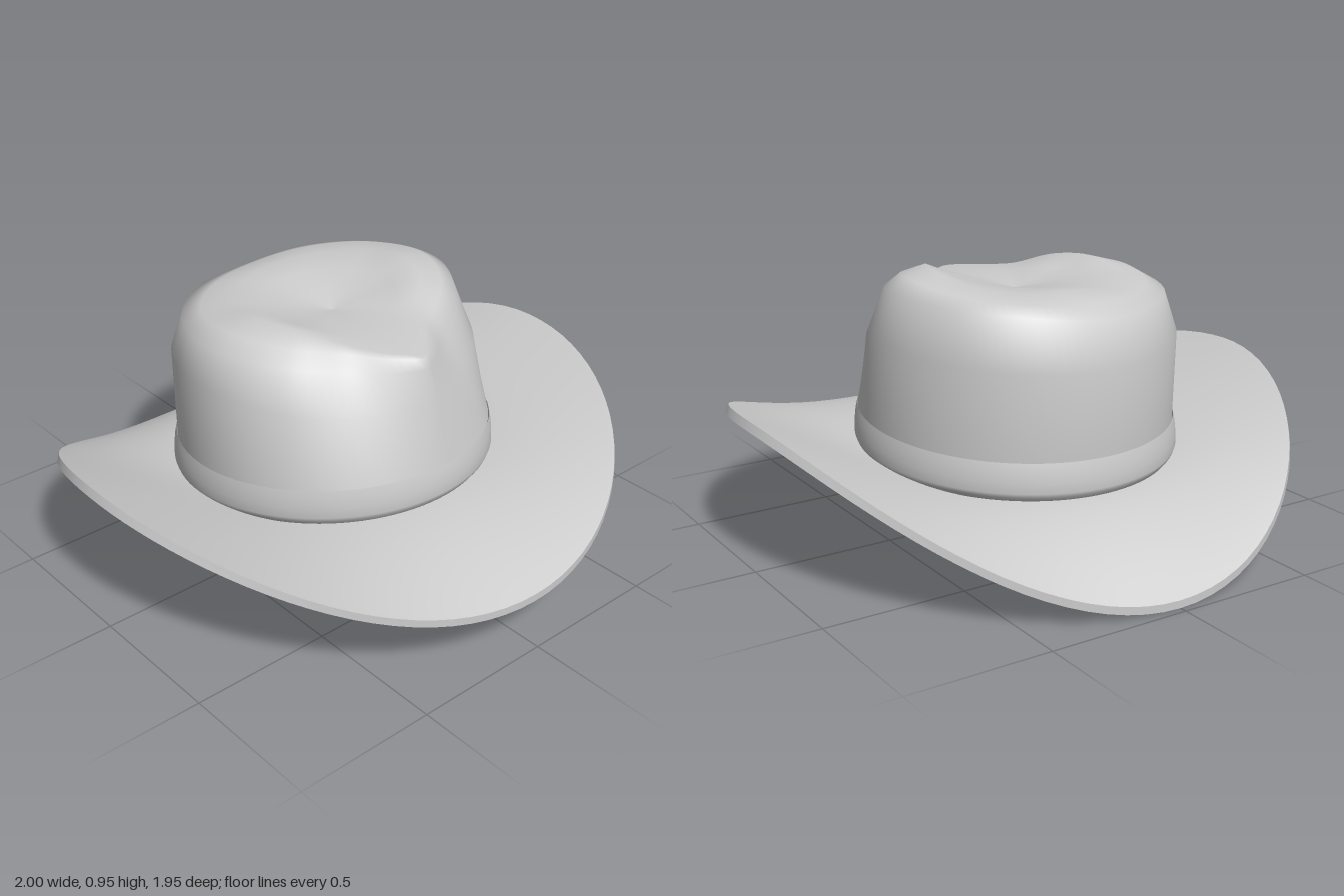
import * as THREE from 'three';

const SEGMENTS = 96;
const felt = new THREE.MeshStandardMaterial({ color: 0xcccccc, side: THREE.DoubleSide });
felt.name = 'light grey felt';

const CENTRE_Z = -0.03; // the crown sits slightly behind the middle
const TILT = 0.075;     // the crown base rises towards the front

// Closed loft: column(angle) returns the points of one vertical slice
function loft(name, column) {
  const positions = [];
  const index = [];
  let rows = 0;
  for (let i = 0; i < SEGMENTS; i++) {
    const points = column((i / SEGMENTS) * Math.PI * 2);
    rows = points.length;
    for (const p of points) positions.push(p.x, p.y, p.z);
  }
  for (let i = 0; i < SEGMENTS; i++) {
    const n = (i + 1) % SEGMENTS;
    for (let j = 0; j < rows - 1; j++) {
      const a = i * rows + j;
      const b = n * rows + j;
      index.push(a, b, a + 1, b, b + 1, a + 1);
    }
  }
  const geometry = new THREE.BufferGeometry();
  geometry.setAttribute('position', new THREE.Float32BufferAttribute(positions, 3));
  geometry.setIndex(index);
  geometry.computeVertexNormals();
  const mesh = new THREE.Mesh(geometry, felt);
  mesh.name = name;
  return mesh;
}

// Point around the crown axis, following the tilt of its base by the given share
function crownPoint(angle, r, y, tilt = 1) {
  const x = Math.sin(angle) * r;
  const z = Math.cos(angle) * r + CENTRE_Z;
  return new THREE.Vector3(x, y + TILT * z * tilt, z);
}

// Smooth value from seven keys spaced 30 degrees apart, front to back, mirrored
function around(keys, angle) {
  const a = angle > Math.PI ? Math.PI * 2 - angle : angle;
  const t = (a / Math.PI) * 6;
  const i = Math.min(5, Math.floor(t));
  const f = t - i;
  const before = i > 0 ? keys[i - 1] : 2 * keys[0] - keys[1];
  const after = i < 5 ? keys[i + 2] : keys[5];
  const m0 = (keys[i + 1] - before) / 2;
  const m1 = (after - keys[i]) / 2;
  const f2 = f * f;
  const f3 = f2 * f;
  return (2 * f3 - 3 * f2 + 1) * keys[i] + (f3 - 2 * f2 + f) * m0
    + (3 * f2 - 2 * f3) * keys[i + 1] + (f3 - f2) * m1;
}

// Crown levels from wall to dimple: radius keys and height keys
const crownLevels = [
  { r: [0.5, 0.465, 0.508, 0.547, 0.557, 0.567, 0.572], y: [0.7, 0.68, 0.7, 0.73, 0.71, 0.69, 0.68] },
  { r: [0.475, 0.39, 0.435, 0.495, 0.515, 0.515, 0.51], y: [0.8, 0.805, 0.845, 0.868, 0.86, 0.848, 0.83] },
  { r: [0.462, 0.35, 0.385, 0.43, 0.45, 0.445, 0.435], y: [0.835, 0.853, 0.89, 0.908, 0.89, 0.875, 0.87] },
  { r: [0.445, 0.315, 0.31, 0.33, 0.35, 0.345, 0.335], y: [0.843, 0.868, 0.917, 0.931, 0.905, 0.89, 0.895] },
  { r: [0.28, 0.22, 0.22, 0.23, 0.23, 0.23, 0.23], y: [0.855, 0.862, 0.885, 0.892, 0.89, 0.885, 0.885] },
  { r: [0.14, 0.12, 0.11, 0.11, 0.11, 0.11, 0.11], y: [0.855, 0.857, 0.862, 0.865, 0.865, 0.865, 0.865] },
];

function crownColumn(angle) {
  const points = [[0.55, 0.3], [0.554, 0.37], [0.554, 0.43]].map(([r, y]) => crownPoint(angle, r, y));
  crownLevels.forEach((level, k) => {
    const p = crownPoint(angle, around(level.r, angle), around(level.y, angle), 0);
    if (k > 0) p.y += 0.045 * p.x; // one side peaks a little higher
    points.push(p);
  });
  points.push(new THREE.Vector3(0, 0.84, CENTRE_Z));
  return points;
}

// Underside of the brim: t = 0 at the opening, 1 at the rim
function brimPoint(angle, t, lift = 0) {
  const s = Math.sin(angle);
  const c = Math.cos(angle);
  const inner = crownPoint(angle, 0.488, 0.268);
  const rimY = 0.487 - c * c * (c > 0 ? 0.315 : 0.487);
  const bend = Math.pow(t, 1.2 + 0.65 * c * c);
  // the thickness leans inwards where the sides curl up
  const lean = 1 - lift * t * s * s * 0.5;
  return new THREE.Vector3(
    THREE.MathUtils.lerp(inner.x, s, t) * lean,
    THREE.MathUtils.lerp(inner.y, rimY, bend) + lift,
    THREE.MathUtils.lerp(inner.z, c * 0.975, t),
  );
}

function buildBrim() {
  const brim = new THREE.Group();
  brim.name = 'brim';
  const thickness = 0.027;
  const steps = Array.from({ length: 21 }, (_, i) => i / 20);
  brim.add(
    loft('brimUnderside', (a) => steps.map((t) => brimPoint(a, t))),
    loft('brimRim', (a) => [brimPoint(a, 1), brimPoint(a, 1, thickness)]),
    loft('brimTop', (a) => steps.map((t) => brimPoint(a, 1 - t, thickness))),
    loft('brimOpening', (a) => [brimPoint(a, 0, thickness), brimPoint(a, 0)]),
  );
  return brim;
}

// Hat band: a thin strip that tucks under at the bottom and lies flush at the top
const bandProfile = [[0.552, 0.3], [0.564, 0.316], [0.569, 0.33], [0.568, 0.365], [0.564, 0.4], [0.557, 0.43]];

export function createModel() {
  const hat = new THREE.Group();
  hat.name = 'wideBrimmedHat';
  hat.add(
    loft('crown', crownColumn),
    loft('hatBand', (a) => bandProfile.map(([r, y]) => crownPoint(a, r, y))),
    buildBrim(),
  );
  return hat;
}
